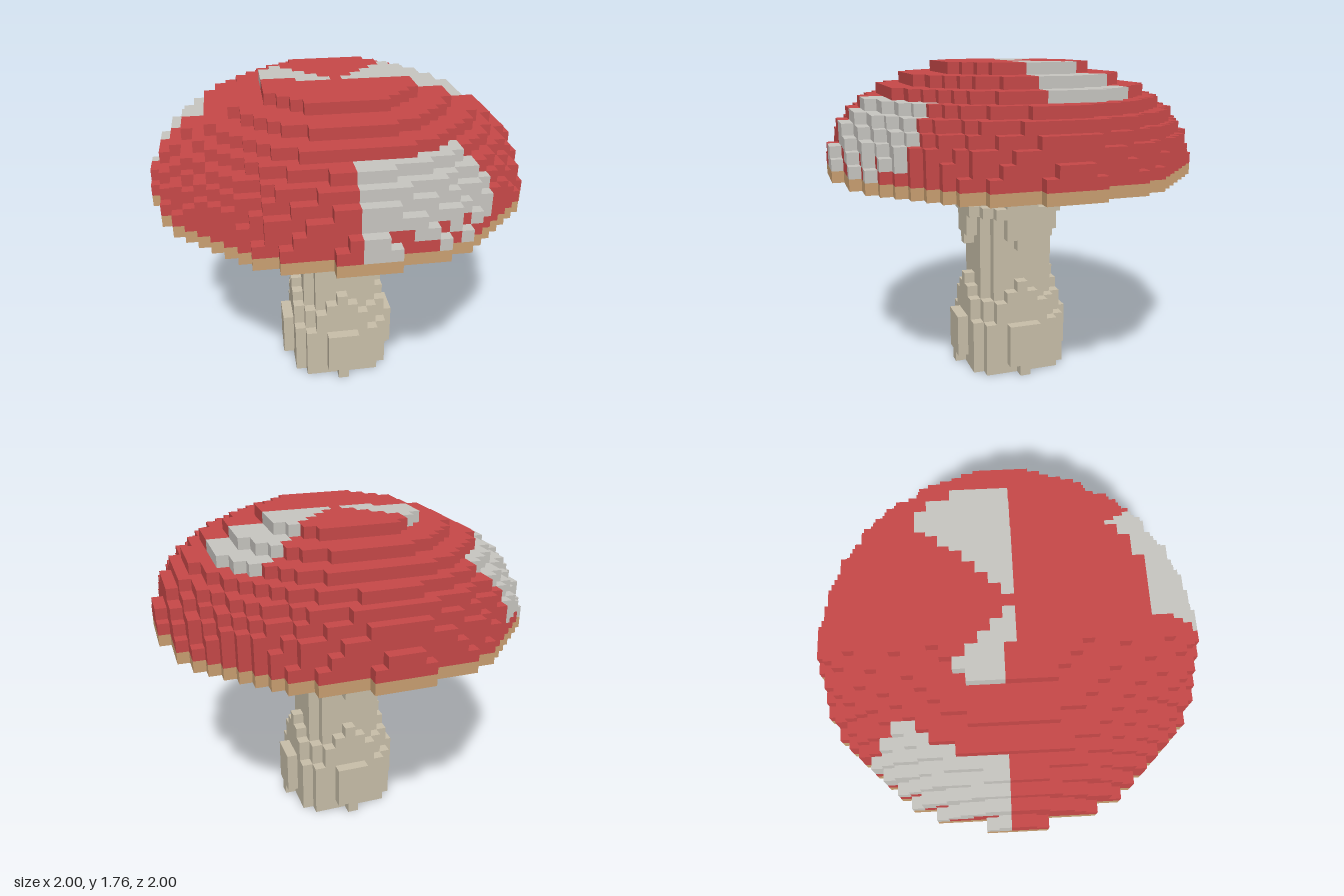
import * as THREE from 'three';

const CELL = 2 / 33;   // edge of one cube
const R = 16;          // cubes from the centre to the rim
const RIM = 19;        // level of the rim under the cap
const TOP = 28;        // highest level

const paint = (name, color) => {
  const m = new THREE.MeshStandardMaterial({ color });
  m.name = name;
  return m;
};

// Squared stem radius for each level, from the ground up
const STEM = [25, 26, 26, 26, 26, 20, 20, 17, 16, 13, 13, 13, 16, 17, 17, 20, 17, 17, 16];

// Squared radius of the round slice at a level: stem, flat rim, then domed cap
function radiusSq(level) {
  if (level < 0 || level > TOP) return -1;
  if (level < RIM) return STEM[level];
  if (level === RIM) return 262;
  const k = level - RIM - 1;
  return 262 * (1 - k * k / 77.6);
}

const filled = (x, y, z) => x * x + z * z <= radiusSq(y);

// Pale patches are eighths of the cap, on the lower slope or around the crown
function isSpot(x, y, z) {
  const k = y - RIM - 1;
  if (k <= 5) {
    const reach = [252, 238][k] ?? 0; // ragged lower edge
    if (x * x + z * z < reach) return false;
    const front = x >= 0 && x < z;
    const side = z < 0 && x <= z;
    return front || side;
  }
  const crownLeft = z <= 0 && x > -z;
  const crownRight = k === 8 && z <= 0 && -x > -z && (z < 0 || x >= -3);
  return crownLeft || crownRight;
}

function partAt(x, y, z) {
  if (y < RIM) return 'stem';
  if (y === RIM) return 'capRim';
  return isSpot(x, y, z) ? 'capSpots' : 'cap';
}

// Adds one square of a cube; axis 0-2 and side +1 or -1 give its direction
function addFace(part, cube, axis, side) {
  const u = (axis + 1) % 3, v = (axis + 2) % 3;
  const corners = [[-1, -1], [1, -1], [1, 1], [-1, 1]];
  if (side < 0) corners.reverse();
  const base = part.positions.length / 3;
  for (const [a, b] of corners) {
    const p = [cube[0], cube[1] + 0.5, cube[2]];
    p[axis] += side / 2;
    p[u] += a / 2;
    p[v] += b / 2;
    part.positions.push(p[0] * CELL, p[1] * CELL, p[2] * CELL);
    const n = [0, 0, 0];
    n[axis] = side;
    part.normals.push(...n);
  }
  part.index.push(base, base + 1, base + 2, base, base + 2, base + 3);
}

export function createModel() {
  const materials = {
    stem: paint('stem beige', 0xcac0aa),
    capRim: paint('rim tan', 0xcba173),
    cap: paint('cap red', 0xc94949),
    capSpots: paint('spot grey', 0xc9c7c2),
  };
  const parts = {};
  for (const name in materials) parts[name] = { positions: [], normals: [], index: [] };

  // Keep only the cube faces that touch open air
  for (let y = 0; y <= TOP; y++) {
    for (let x = -R; x <= R; x++) {
      for (let z = -R; z <= R; z++) {
        if (!filled(x, y, z)) continue;
        const part = parts[partAt(x, y, z)];
        for (let axis = 0; axis < 3; axis++) {
          for (const side of [-1, 1]) {
            const next = [x, y, z];
            next[axis] += side;
            if (!filled(...next)) addFace(part, [x, y, z], axis, side);
          }
        }
      }
    }
  }

  // One mesh for each part
  const group = new THREE.Group();
  group.name = 'mushroom';
  for (const name in parts) {
    const { positions, normals, index } = parts[name];
    const geometry = new THREE.BufferGeometry();
    geometry.setAttribute('position', new THREE.Float32BufferAttribute(positions, 3));
    geometry.setAttribute('normal', new THREE.Float32BufferAttribute(normals, 3));
    geometry.setIndex(index);
    const mesh = new THREE.Mesh(geometry, materials[name]);
    mesh.name = name;
    group.add(mesh);
  }
  return group;
}
